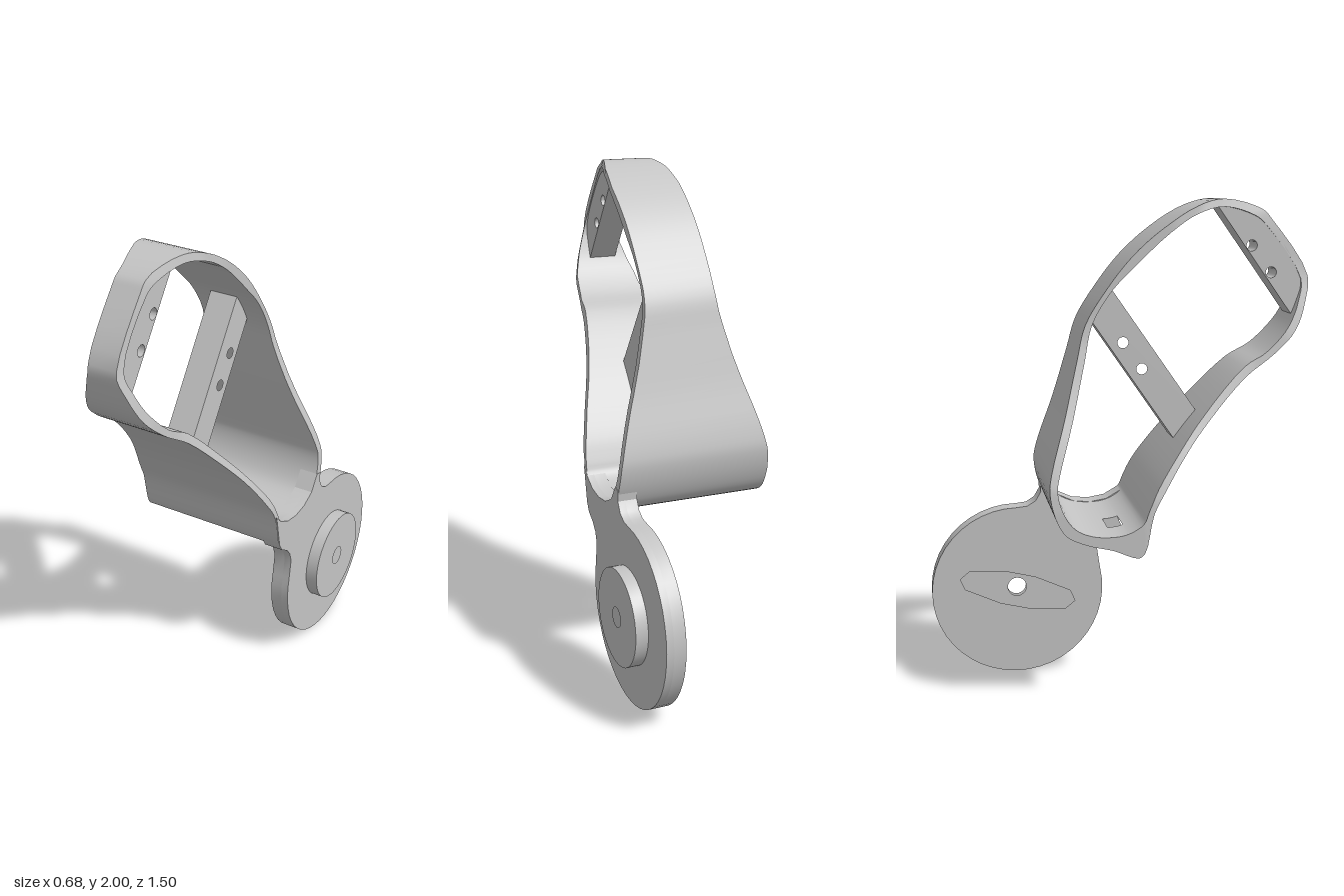
import * as THREE from 'three';
import { toCreasedNormals } from 'three/addons/utils/BufferGeometryUtils.js';

const CX = -0.028; // middle of the band in x

// Piecewise-linear lookup: keys are [input, output]
function lookup(keys, t) {
  if (t <= keys[0][0]) return keys[0][1];
  for (let i = 1; i < keys.length; i++) {
    const [a, va] = keys[i - 1], [b, vb] = keys[i];
    if (t <= b) return va + (vb - va) * (t - a) / (b - a);
  }
  return keys[keys.length - 1][1];
}

// Half width of the band: flares towards the bottom, tapers at the front nose
const FLARE = [[0.8, 0.316], [0.88, 0.309], [0.955, 0.292], [1.06, 0.262], [1.167, 0.226],
  [1.27, 0.195], [1.376, 0.169], [1.45, 0.153], [1.53, 0.146]];
const NOSE = [[1.18, 0.4], [1.28, 0.146], [1.4, 0.132], [1.5, 0.1], [1.6, 0.058]];
const halfWidth = (p) => Math.min(lookup(FLARE, p.y + 0.15 * p.z), lookup(NOSE, 0.81 * p.z + 0.59 * p.y));

// Band section: outer z, y and inner z, y around the loop
const SECTION = [
  [0.75, 1.70, 0.72, 1.69], [0.60, 1.92, 0.575, 1.90], [0.56, 1.96, 0.53, 1.935],
  [0.40, 2.0, 0.40, 1.97], [0.29, 1.975, 0.29, 1.945], [0.15, 1.89, 0.18, 1.875],
  [0.03, 1.785, 0.03, 1.737], [-0.07, 1.66, -0.045, 1.66], [-0.15, 1.53, -0.122, 1.535],
  [-0.185, 1.40, -0.157, 1.39], [-0.24, 1.19, -0.21, 1.18], [-0.30, 0.99, -0.27, 0.98],
  [-0.31, 0.92, -0.28, 0.92], [-0.29, 0.82, -0.26, 0.84], [-0.25, 0.75, -0.215, 0.775],
  [-0.17, 0.71, -0.15, 0.745], [-0.07, 0.685, -0.07, 0.738], [0.03, 0.65, -0.01, 0.748],
  [0.055, 0.67, 0.05, 0.785], [0.09, 0.82, 0.07, 0.83], [0.14, 0.91, 0.11, 0.915],
  [0.23, 1.045, 0.208, 1.058], [0.325, 1.16, 0.305, 1.18], [0.48, 1.32, 0.475, 1.358],
  [0.60, 1.405, 0.57, 1.415], [0.69, 1.495, 0.66, 1.51], [0.735, 1.60, 0.705, 1.605],
];

function bandGeometry() {
  const steps = 4, n = SECTION.length * steps;
  const curve = (k) => new THREE.CatmullRomCurve3(
    SECTION.map((s) => new THREE.Vector3(0, s[k + 1], s[k])), true, 'centripetal').getPoints(n);
  const outer = curve(0), inner = curve(2);
  const pos = [];
  const quad = (a, b, c, d) => [a, b, c, a, c, d].forEach((v) => pos.push(v.x, v.y, v.z));
  const at = (p, x) => new THREE.Vector3(x, p.y, p.z);
  const low = (p) => CX - halfWidth(p), high = (p) => CX + halfWidth(p);

  // One slice of wall between stations i and i+1
  function slice(i, lo, hi) {
    const [o, q, m, r] = [outer[i], outer[i + 1], inner[i], inner[i + 1]];
    quad(at(o, lo(o)), at(o, hi(o)), at(q, hi(q)), at(q, lo(q)));
    quad(at(m, lo(m)), at(r, lo(r)), at(r, hi(r)), at(m, hi(m)));
    quad(at(o, hi(o)), at(m, hi(m)), at(r, hi(r)), at(q, hi(q)));
    quad(at(o, lo(o)), at(q, lo(q)), at(r, lo(r)), at(m, lo(m)));
  }

  // Floor slot between two stations
  const s0 = 16 * steps, s1 = 17 * steps, xa = -0.2, xb = -0.07;
  for (let i = 0; i < n; i++) {
    if (i >= s0 && i < s1) {
      slice(i, low, () => xa);
      slice(i, () => xb, high);
    } else slice(i, low, high);
  }
  const slotEnd = (i, a, b) => quad(at(outer[i], a), at(outer[i], b), at(inner[i], b), at(inner[i], a));
  slotEnd(s0, xb, xa);
  slotEnd(s1, xa, xb);

  const g = new THREE.BufferGeometry();
  g.setAttribute('position', new THREE.Float32BufferAttribute(pos, 3));
  return toCreasedNormals(g, 0.5);
}

// Points [z, y] around a circle
function circle(z, y, r, sides, from = 0, to = Math.PI * 2) {
  return Array.from({ length: sides }, (_, i) => {
    const a = from + (to - from) * i / sides;
    return [z + r * Math.cos(a), y + r * Math.sin(a)];
  });
}

// Side-view outline [z, y] extruded from x0 to x1
function plate(outline, x0, x1, holes = []) {
  const toV2 = (pts) => pts.map(([z, y]) => new THREE.Vector2(-z, y));
  const shape = new THREE.Shape(toV2(outline));
  holes.forEach((h) => shape.holes.push(new THREE.Path(toV2(h))));
  const g = new THREE.ExtrudeGeometry(shape, { depth: x1 - x0, bevelEnabled: false });
  g.rotateY(Math.PI / 2);
  g.translate(x0, 0, 0);
  return toCreasedNormals(g, 0.5);
}

export function createModel() {
  const model = new THREE.Group();
  const grey = new THREE.MeshStandardMaterial({ color: 0xc4c4c4 });
  grey.name = 'grey plastic';
  const add = (name, geometry) => {
    const mesh = new THREE.Mesh(geometry, grey);
    mesh.name = name;
    model.add(mesh);
  };

  add('flaredBand', bandGeometry());

  // Screw blocks across the band
  const blockX = [CX - 0.06, CX + 0.056];
  const screwHoles = (...c) => c.map(([z, y]) => circle(z, y, 0.022, 16));
  add('frontScrewBlock', plate(
    [[0.735, 1.70], [0.72, 1.60], [0.70, 1.53], [0.38, 1.975], [0.46, 1.98], [0.55, 1.945], [0.59, 1.91]],
    ...blockX, screwHoles([0.52, 1.82], [0.60, 1.715])));
  add('middleScrewBlock', plate(
    [[0.31, 1.165], [-0.05, 1.68], [-0.13, 1.56], [0.222, 1.052]],
    ...blockX, screwHoles([0.085, 1.345], [0.01, 1.45])));

  // Pivot disc with a neck that meets the bottom of the band
  const DZ = -0.39, DY = 0.363, R = 0.362;
  const outline = [
    ...circle(DZ, DY, R, 36, Math.PI / 2, Math.PI * 2 + 0.37),
    [-0.05, 0.53], [-0.035, 0.575], [-0.01, 0.605], [0.035, 0.635], [0.055, 0.67], [0.075, 0.77], [0.085, 0.82],
    [0.05, 0.785], [-0.01, 0.75], [-0.08, 0.738], [-0.15, 0.745], [-0.215, 0.775], [-0.26, 0.84],
    [-0.29, 0.83], [-0.288, 0.79], [-0.31, 0.752], [-0.345, 0.73],
  ];
  const bore = circle(DZ, DY, 0.04, 20);

  // Tapered recess on the inner face
  const tilt = -0.24;
  const recess = [
    [-0.22, 0.04], [-0.25, 0], [-0.22, -0.04], [-0.06, -0.07], [0.06, -0.07],
    [0.22, -0.04], [0.25, 0], [0.22, 0.04], [0.06, 0.07], [-0.06, 0.07],
  ].map(([u, v]) => [
    DZ + u * Math.cos(tilt) - v * Math.sin(tilt),
    DY + u * Math.sin(tilt) + v * Math.cos(tilt),
  ]);
  add('pivotDiscInner', plate(outline, 0.212, 0.26, [recess]));
  add('pivotDiscOuter', plate(outline, 0.26, 0.29, [bore]));
  add('pivotBoss', plate(circle(DZ, DY, 0.194, 40), 0.29, 0.34, [bore]));

  return model;
}
